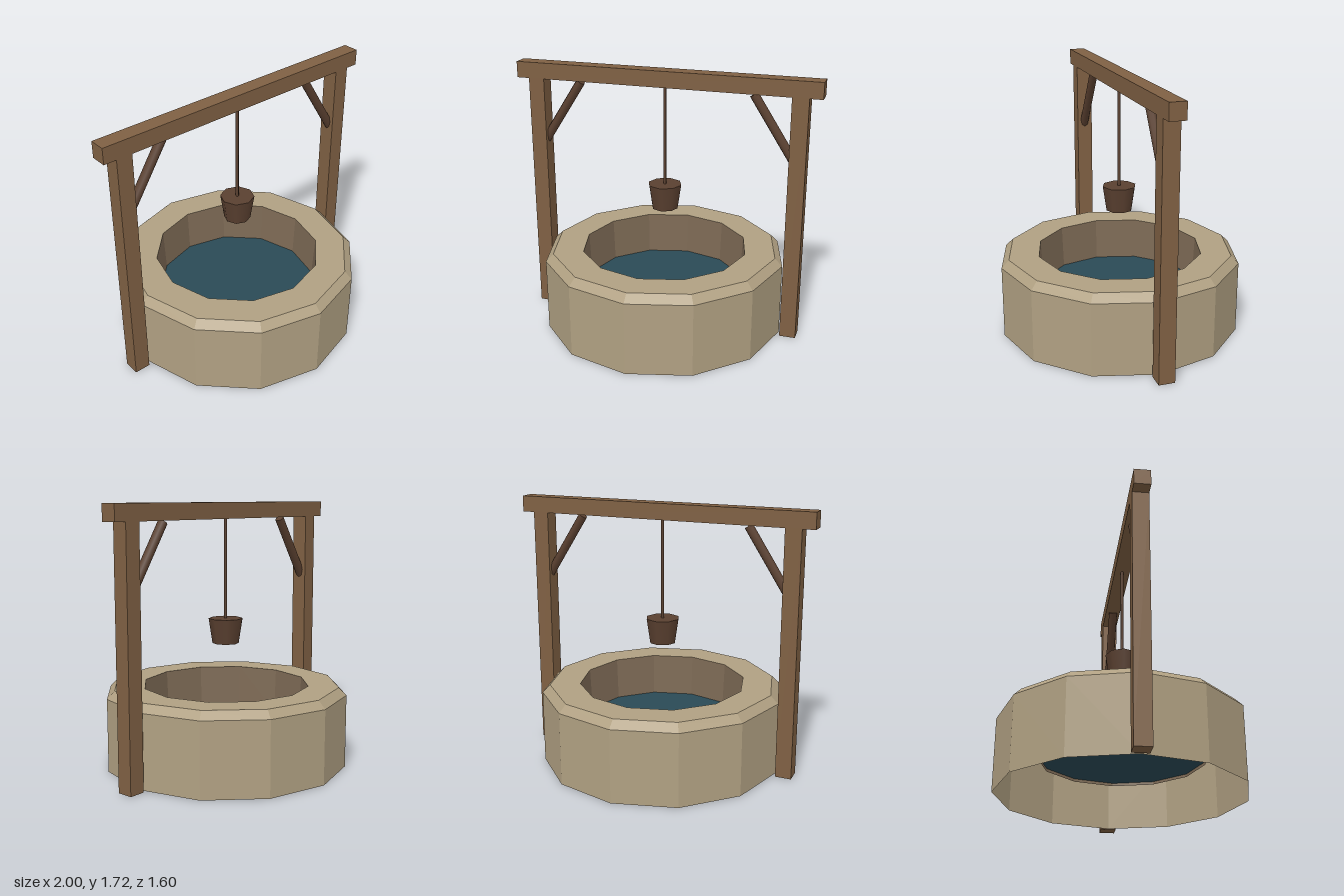
import * as THREE from 'three';

const mat = (color, flatShading = true, side = THREE.FrontSide) =>
  new THREE.MeshStandardMaterial({ color, flatShading, side });

export function createModel() {
  const well = new THREE.Group();
  well.name = 'well';
  const stone = mat(0xb0a082, true, THREE.DoubleSide);
  const lining = mat(0x7d6a55, true, THREE.DoubleSide);
  const water = mat(0x2a4a56, true, THREE.DoubleSide);
  const wood = mat(0x7f6043);
  const darkWood = mat(0x5a4030, false);

  const add = (name, geometry, material, x = 0, y = 0, z = 0) => {
    const mesh = new THREE.Mesh(geometry, material);
    mesh.name = name;
    mesh.position.set(x, y, z);
    well.add(mesh);
    return mesh;
  };

  // Twelve-sided stone wall with a bevelled rim, open underneath
  const wallProfile = [[0.8, 0], [0.8, 0.48], [0.75, 0.53], [0.55, 0.53]]
    .map(([r, y]) => new THREE.Vector2(r, y));
  add('stoneWall', new THREE.LatheGeometry(wallProfile, 12), stone);

  // Inner shaft and the water surface in it
  add('shaftLining', new THREE.CylinderGeometry(0.55, 0.535, 0.3, 12, 1, true), lining, 0, 0.38);
  add('water', new THREE.CircleGeometry(0.535, 12).rotateX(-Math.PI / 2), water, 0, 0.25);

  // Timber frame: beam, posts and slanted braces
  const t = 0.105;
  add('crossBeam', new THREE.BoxGeometry(2, t, t), wood, 0, 1.72 - t / 2);
  for (const [side, s] of [['left', 1], ['right', -1]]) {
    add(side + 'Post', new THREE.BoxGeometry(t, 1.62, t), wood, s * 0.865, 0.81);
    const brace = add(side + 'Brace', new THREE.CylinderGeometry(0.03, 0.03, 0.5, 8), darkWood,
      s * 0.708, 1.395);
    brace.rotation.z = s * 0.573;
  }

  // Rope and bucket
  add('rope', new THREE.CylinderGeometry(0.01, 0.01, 0.66, 6), darkWood, 0, 1.29);
  add('bucket', new THREE.CylinderGeometry(0.112, 0.087, 0.165, 8), darkWood, 0, 0.883);

  return well;
}
